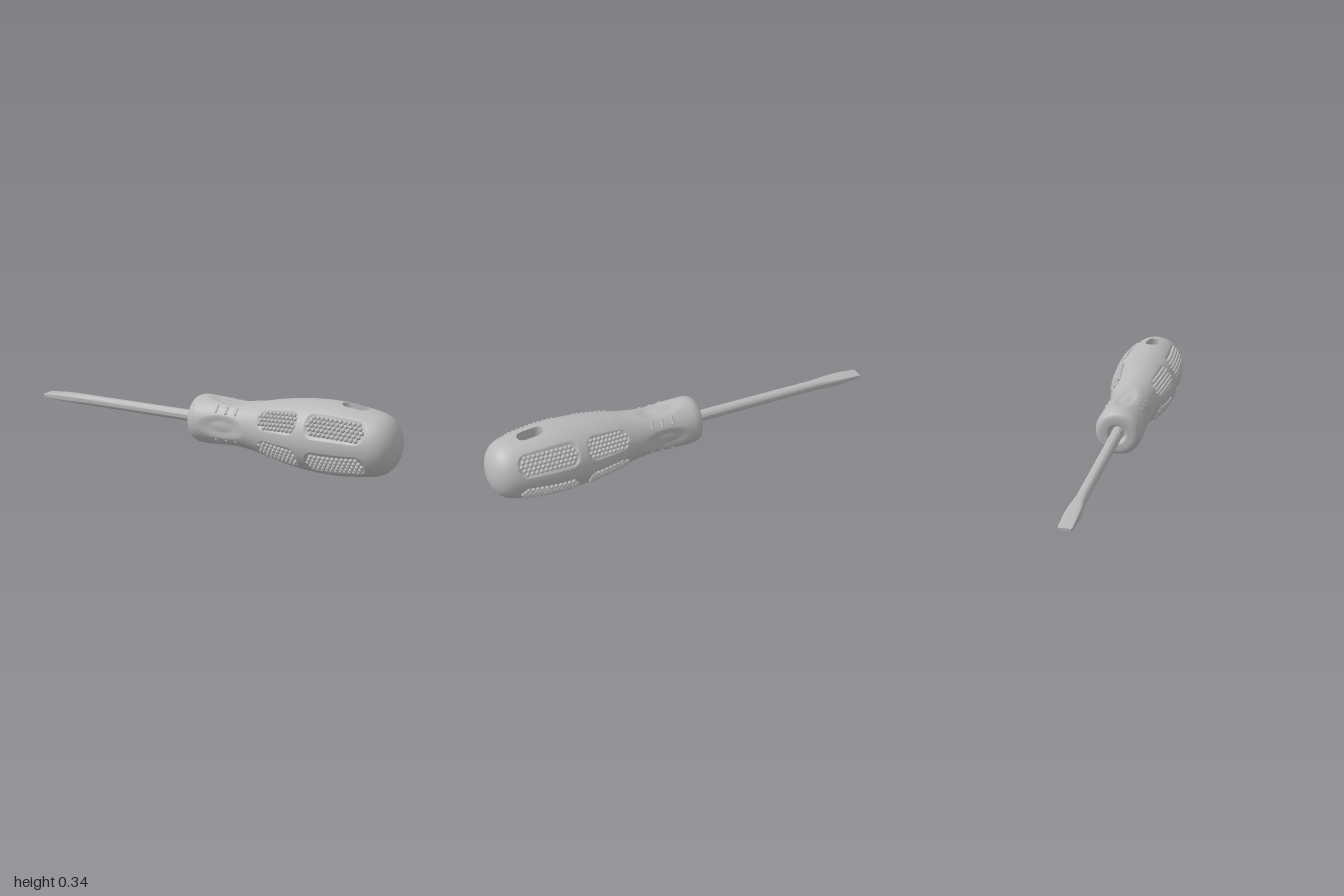
import * as THREE from 'three';
import { mergeGeometries, toCreasedNormals } from 'three/addons/utils/BufferGeometryUtils.js';

const grey = new THREE.MeshStandardMaterial({ color: 0xb8b8b8 });
grey.name = 'grey';

const RAD = Math.PI / 180;
const Z_SCALE = 0.97;
const slot = { x: 0.783, half: 0.031, r: 0.032 };

// Handle outline: distance along the axis, radius
const outline = new THREE.SplineCurve([
  [-0.03, 0.02], [-0.032, 0.04], [-0.058, 0.046], [-0.062, 0.06], [-0.062, 0.085], [-0.054, 0.103],
  [-0.03, 0.115], [0, 0.118], [0.1, 0.116], [0.2, 0.112], [0.3, 0.123], [0.4, 0.144], [0.5, 0.16],
  [0.6, 0.169], [0.7, 0.17], [0.8, 0.161], [0.9, 0.145], [0.95, 0.122], [0.98, 0.086], [0.995, 0.045], [1, 0],
].map(([x, r]) => new THREE.Vector2(x, r))).getSpacedPoints(225);

function radiusAt(x) {
  const i = outline.findIndex((p, k) => k > 20 && p.x >= x);
  const a = outline[i - 1], b = outline[i];
  return THREE.MathUtils.lerp(a.y, b.y, (x - a.x) / (b.x - a.x));
}

const around = (x, r, t) => new THREE.Vector3(x, r * Math.sin(t), Z_SCALE * r * Math.cos(t));
const angleGap = (a, b) => Math.atan2(Math.sin(a - b), Math.cos(a - b));

// Eight grip pads, four around and two along
const pads = [];
for (const deg of [32, 148, 212, 328]) {
  pads.push({ x: 0.445, half: 0.108, t: deg * RAD }, { x: 0.742, half: 0.142, t: deg * RAD });
}

// Signed distance to the rounded outline of a pad
function padDistance(pad, dx, arc, r) {
  const corner = 0.042;
  const qx = Math.abs(dx) - pad.half + corner;
  const qy = Math.abs(arc) - 0.36 * r + corner;
  return Math.hypot(Math.max(qx, 0), Math.max(qy, 0)) + Math.min(Math.max(qx, qy), 0) - corner;
}

// Depth of the finger scoops and pad recesses below the outline
function recess(x, r, t) {
  let depth = 0;
  for (let k = 0; k < 4; k++) {
    const arc = angleGap(t, k * Math.PI / 2) * r;
    const e = Math.hypot((x - 0.135) / 0.135, arc / 0.064);
    if (e < 1) depth = 0.013 * THREE.MathUtils.smoothstep(1 - e, 0, 0.6);
  }
  for (const pad of pads) {
    const d = padDistance(pad, x - pad.x, angleGap(t, pad.t) * r, r);
    depth = Math.max(depth, 0.008 * THREE.MathUtils.smoothstep(-d, 0, 0.008));
  }
  return depth;
}

// Skin over rows of closed loops; faces lying wholly on skipped points are left out
function loft(rows, skip = new Set()) {
  const n = rows[0].length, index = [];
  const tri = (...f) => { if (!f.every((v) => skip.has(v))) index.push(...f); };
  for (let i = 0; i < rows.length - 1; i++) {
    for (let j = 0; j < n; j++) {
      const a = i * n + j, d = i * n + (j + 1) % n;
      tri(a, a + n, d + n);
      tri(a, d + n, d);
    }
  }
  const geo = new THREE.BufferGeometry().setFromPoints(rows.flat());
  geo.setIndex(index);
  geo.computeVertexNormals();
  return geo;
}

function handleGeometry() {
  const n = 160, inside = new Set();
  const rows = outline.map((o, i) => Array.from({ length: n }, (_, j) => {
    const t = (j / n) * Math.PI * 2;
    const p = around(o.x, Math.max(o.y - (o.x > -0.01 ? recess(o.x, o.y, t) : 0), 0), t);
    // Points within the hanging slot move out to its rim
    const cx = THREE.MathUtils.clamp(p.x, slot.x - slot.half, slot.x + slot.half);
    const dist = Math.hypot(p.x - cx, p.z);
    if (dist < slot.r && Math.abs(p.y) > 0.1) {
      inside.add(i * n + j);
      const k = dist > 1e-6 ? slot.r / dist : 1;
      p.x = cx + (p.x - cx) * k;
      p.z *= k;
    }
    return p;
  }));
  return loft(rows, inside);
}

// Wall of the slot that runs through the handle
function slotGeometry() {
  const rows = [1, -1].map((s) => Array.from({ length: 48 }, (_, j) => {
    const a = ((j + 0.5) / 48) * Math.PI * 2;
    const x = slot.x + Math.sign(Math.cos(a)) * slot.half + slot.r * Math.cos(a);
    const z = slot.r * Math.sin(a), r = radiusAt(x);
    return new THREE.Vector3(x, s * Math.sqrt(r * r - (z / Z_SCALE) ** 2), z);
  }));
  return loft(rows);
}

// Staggered round studs filling one pad
function studGeometry(pad) {
  const studs = [], stepX = 0.0215, stepS = 0.0195;
  for (let row = -3; row <= 3; row++) {
    for (let col = -8; col <= 8; col++) {
      const dx = (col + (row & 1) * 0.5) * stepX;
      const x = pad.x + dx, arc = row * stepS;
      if (Math.abs(dx) > pad.half) continue;
      const r = radiusAt(x);
      if (padDistance(pad, dx, arc, r) > -0.008) continue;
      const p = around(x, r - 0.004, pad.t + arc / r);
      studs.push(new THREE.SphereGeometry(0.0105, 8, 6).translate(p.x, p.y, p.z));
    }
  }
  return mergeGeometries(studs);
}

// Shaft and blade: distance, half width, half thickness, corner power
function shaftGeometry() {
  const sections = [
    [-1, 0, 0, 0.2], [-1, 0.028, 0.006, 0.2], [-0.99, 0.032, 0.008, 0.2], [-0.9, 0.034, 0.017, 0.3],
    [-0.83, 0.033, 0.022, 0.5], [-0.77, 0.028, 0.026, 0.8], [-0.72, 0.026, 0.027, 1], [-0.02, 0.028, 0.028, 1],
  ];
  const power = (v, p) => Math.sign(v) * Math.abs(v) ** p;
  const rows = sections.map(([x, w, h, p]) => Array.from({ length: 40 }, (_, j) => {
    const t = ((j + 0.5) / 40) * Math.PI * 2;
    return new THREE.Vector3(x, h * power(Math.sin(t), p), w * power(Math.cos(t), p));
  }));
  return toCreasedNormals(loft(rows), 0.6);
}

export function createModel() {
  const model = new THREE.Group();
  model.name = 'screwdriver';
  const add = (name, geometry) => {
    const mesh = new THREE.Mesh(geometry, grey);
    mesh.name = name;
    model.add(mesh);
    return mesh;
  };

  add('handle', handleGeometry());
  add('hangingSlot', slotGeometry());
  add('shaft', shaftGeometry());
  pads.forEach((pad) => add('gripStuds', studGeometry(pad)));

  // Small ridges between the finger scoops
  for (const deg of [45, 135, 225, 315]) {
    for (const x of [0.1, 0.153, 0.205]) {
      const ridge = add('ridge', new THREE.CapsuleGeometry(0.007, 0.034, 4, 10));
      ridge.position.copy(around(x, radiusAt(x) - 0.003, deg * RAD));
      ridge.rotation.x = -deg * RAD;
    }
  }

  // The tool lies with its axis slightly tilted
  model.rotation.set(0, 0.018, 0.033);
  model.position.set(0, 0.152, 0.01);
  const root = new THREE.Group();
  root.name = 'model';
  root.add(model);
  return root;
}
